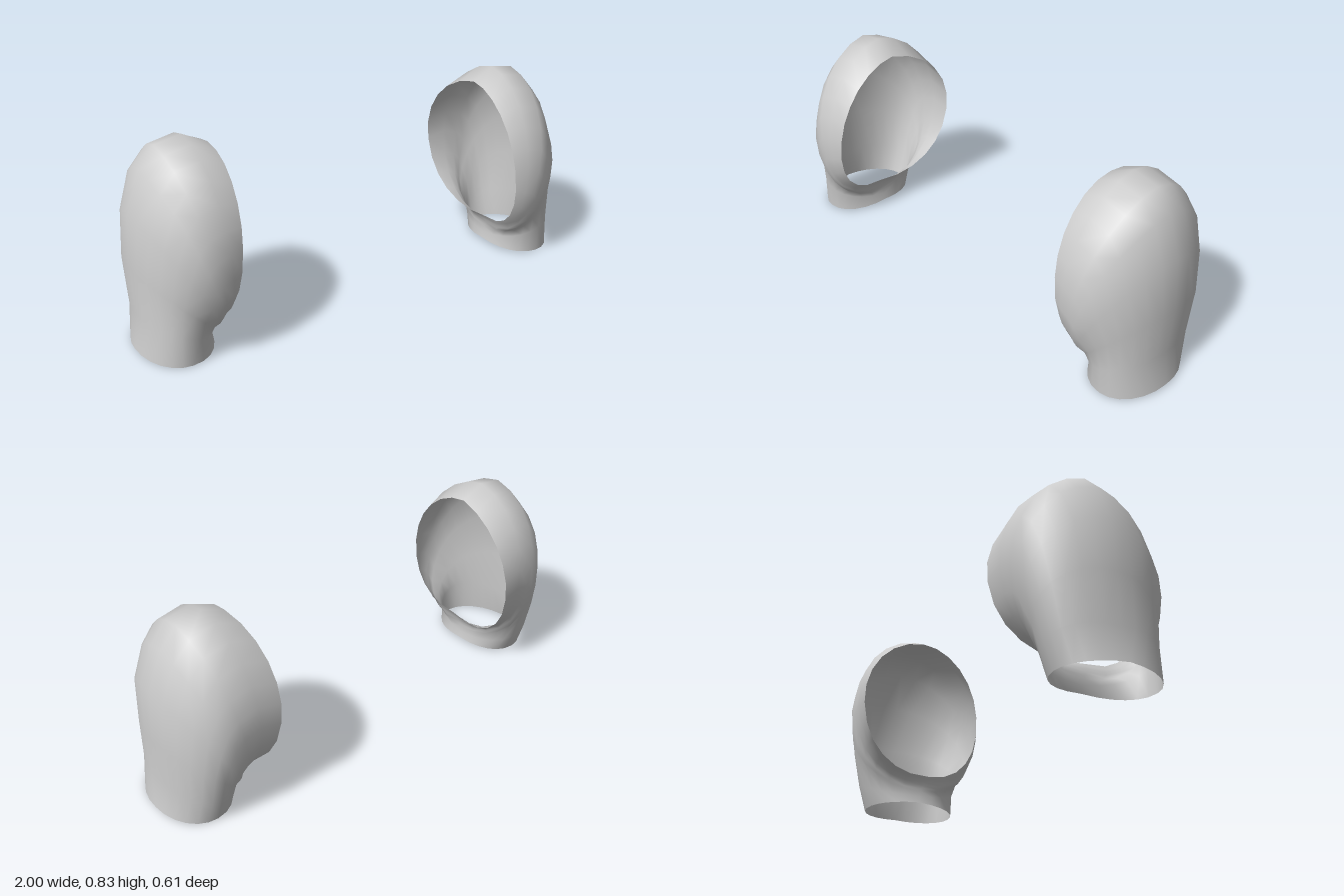
import * as THREE from 'three';

// Four rails run from the armhole rim down to the cuff; each row is one ring.
// Columns: outer, front, inner, back.
const RINGS = [
  [[0.63, 0.78, -0.01], [0.645, 0.46, 0.28], [0.69, 0.14, 0.06], [0.615, 0.42, -0.3]],
  [[0.73, 0.83, -0.015], [0.7, 0.46, 0.3], [0.695, 0.13, 0.05], [0.7, 0.44, -0.295]],
  [[0.84, 0.81, -0.015], [0.76, 0.44, 0.305], [0.7, 0.115, 0.04], [0.77, 0.42, -0.29]],
  [[0.91, 0.73, -0.01], [0.79, 0.4, 0.3], [0.705, 0.1, 0.04], [0.81, 0.38, -0.285]],
  [[0.97, 0.57, 0], [0.82, 0.32, 0.29], [0.708, 0.085, 0.03], [0.83, 0.31, -0.27]],
  [[0.985, 0.35, 0], [0.84, 0.22, 0.25], [0.708, 0.07, 0.03], [0.845, 0.22, -0.245]],
  [[0.975, 0.15, 0.01], [0.85, 0.12, 0.235], [0.706, 0.045, 0.02], [0.85, 0.1, -0.215]],
  [[1.0, 0.01, 0.02], [0.85, 0, 0.23], [0.7, 0.015, 0.02], [0.85, 0, -0.18]],
];
const SEGMENTS = 24;

// Point on a ring: quarter-ellipses joining neighbouring rails
function ringPoint(rails, j) {
  const [outer, front, inner, back] = rails.map((p) => new THREE.Vector3(...p));
  const center = outer.clone().add(inner).multiplyScalar(0.5);
  const angle = (j / SEGMENTS) * Math.PI * 2;
  const c = Math.cos(angle), s = Math.sin(angle);
  // the lower half is slightly squarer than an ellipse
  const power = c < 0 ? 0.9 : 1;
  const along = (c >= 0 ? outer : inner).sub(center);
  const across = (s >= 0 ? front : back).sub(center);
  return center
    .addScaledVector(along, Math.abs(c) ** power)
    .addScaledVector(across, Math.abs(s) ** power);
}

// Open sleeve shell; side is +1 for left, -1 for right
function sleeveGeometry(side) {
  const positions = [], index = [];
  RINGS.forEach((rails, k) => {
    for (let j = 0; j < SEGMENTS; j++) {
      const p = ringPoint(rails, j);
      positions.push(p.x * side, p.y, p.z);
      if (k === RINGS.length - 1) continue;
      const next = (j + 1) % SEGMENTS;
      const a = k * SEGMENTS + j, b = k * SEGMENTS + next;
      const c = b + SEGMENTS, d = a + SEGMENTS;
      if (side > 0) index.push(a, b, d, b, c, d);
      else index.push(a, d, b, b, d, c);
    }
  });
  const geometry = new THREE.BufferGeometry();
  geometry.setAttribute('position', new THREE.Float32BufferAttribute(positions, 3));
  geometry.setIndex(index);
  geometry.computeVertexNormals();
  return geometry;
}

export function createModel() {
  const group = new THREE.Group();
  group.name = 'shoulderSleeves';
  const material = new THREE.MeshStandardMaterial({ color: 0xcccccc, side: THREE.DoubleSide });
  for (const [name, side] of [['leftSleeve', 1], ['rightSleeve', -1]]) {
    const sleeve = new THREE.Mesh(sleeveGeometry(side), material);
    sleeve.name = name;
    group.add(sleeve);
  }
  return group;
}
